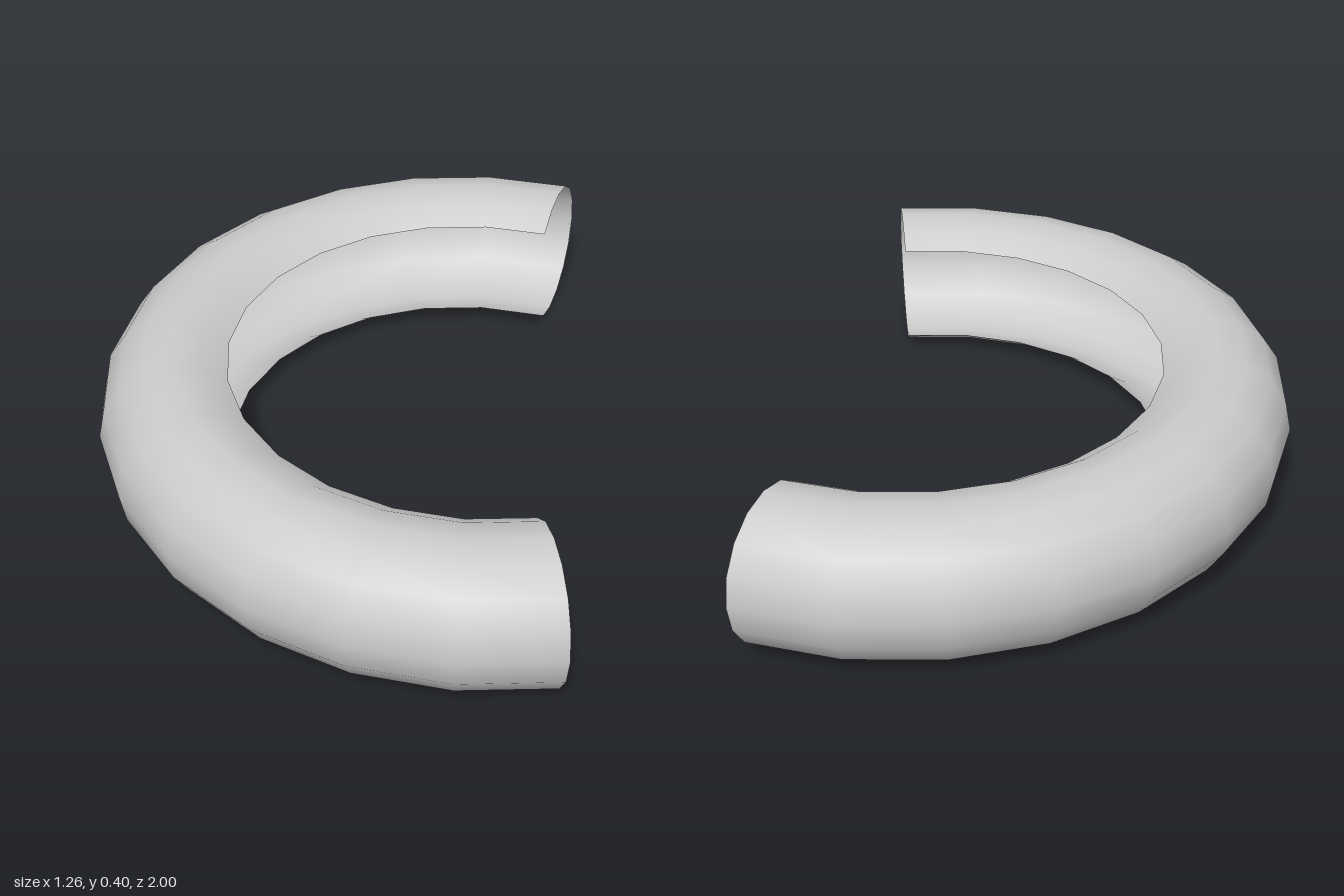
import * as THREE from 'three';

const rad = THREE.MathUtils.degToRad;

export function createModel() {
  const group = new THREE.Group();
  group.name = 'openRingShell';

  const ringRadius = 0.8, tubeRadius = 0.2;

  // Cross-section: three quarters of a circle, open toward the ring's centre
  const profile = [];
  for (let i = 0; i <= 12; i++) {
    const a = rad(-135 + 22.5 * i);
    profile.push(new THREE.Vector2(
      ringRadius + tubeRadius * Math.cos(a),
      tubeRadius + tubeRadius * Math.sin(a)));
  }

  // Sweep it 210 degrees about y, with the gap facing +x
  const geometry = new THREE.LatheGeometry(profile, 14, rad(165), rad(210));
  const material = new THREE.MeshStandardMaterial({ color: 0xcccccc, side: THREE.DoubleSide });
  const shell = new THREE.Mesh(geometry, material);
  shell.name = 'curvedChannel';

  // Centre the arc's extent on x = 0
  const outer = ringRadius + tubeRadius;
  shell.position.x = outer * (1 - Math.cos(rad(75))) / 2;
  group.add(shell);
  return group;
}
